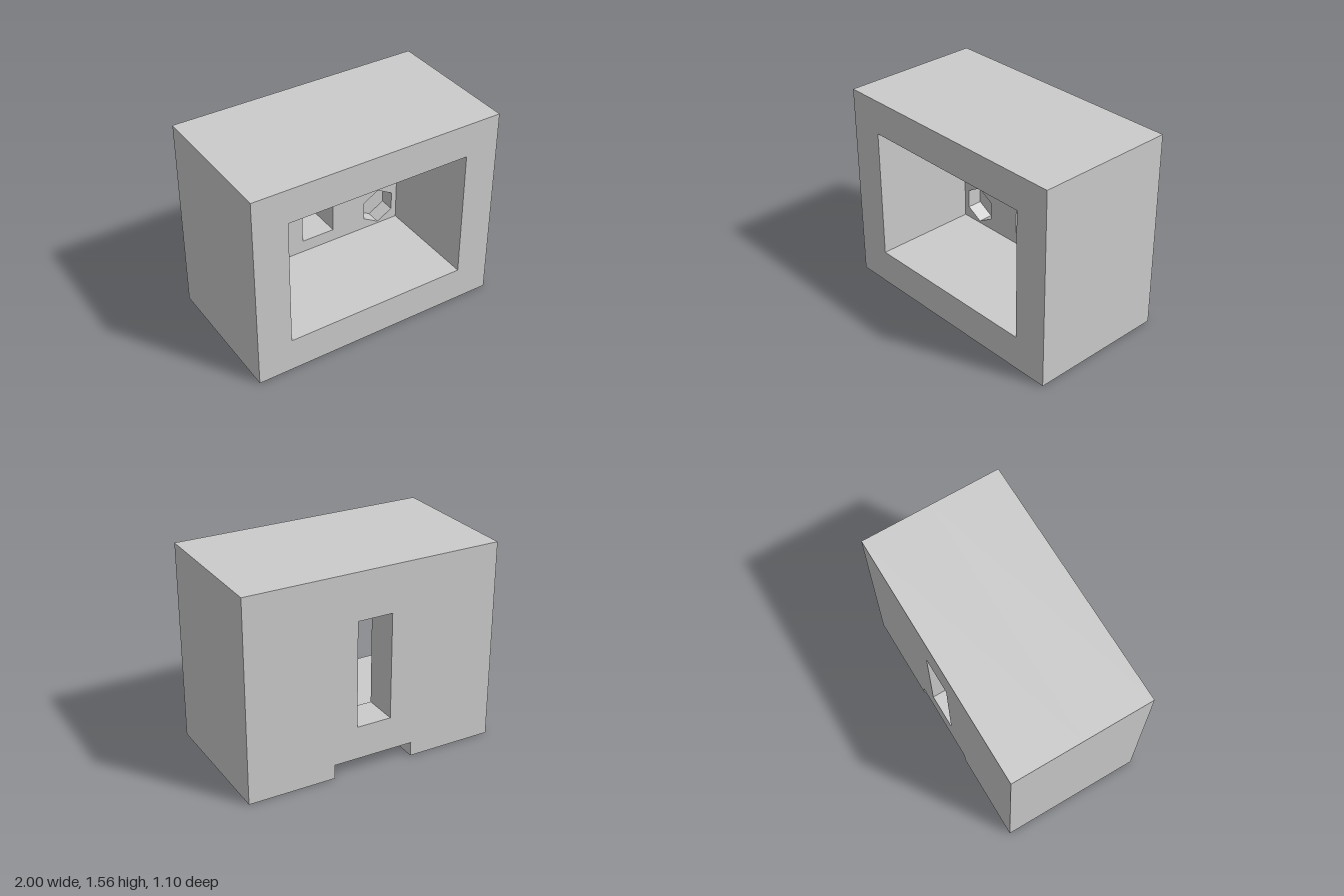
import * as THREE from 'three';
import { mergeGeometries } from 'three/addons/utils/BufferGeometryUtils.js';

// Main dimensions
const W = 1, H = 1.56, FRONT = 0.55, BACK = -0.55;
const FLOOR = -0.275;      // back wall of the front pocket
const NUT_FLOOR = -0.395;  // bottom of the hexagonal recesses
const NOTCH_X = 0.32, NOTCH_Y = 0.11, NOTCH_Z = 0;

const pts = list => list.map(([x, y]) => new THREE.Vector2(x, y));

// Counter-clockwise outlines
const rect = (x0, y0, x1, y1) => pts([[x0, y0], [x1, y0], [x1, y1], [x0, y1]]);
const hexagon = (cx, cy, r) => pts(Array.from({ length: 6 }, (_, i) => {
  const a = Math.PI / 6 + i * Math.PI / 3;
  return [cx + r * Math.cos(a), cy + r * Math.sin(a)];
}));

// Side walls along z; inward walls line a cavity
function walls(outline, z0, z1, inward = false) {
  const loop = inward ? [...outline].reverse() : outline;
  const pos = [];
  loop.forEach((a, i) => {
    const b = loop[(i + 1) % loop.length];
    pos.push(a.x, a.y, z0, b.x, b.y, z0, b.x, b.y, z1);
    pos.push(a.x, a.y, z0, b.x, b.y, z1, a.x, a.y, z1);
  });
  const g = new THREE.BufferGeometry();
  g.setAttribute('position', new THREE.Float32BufferAttribute(pos, 3));
  g.computeVertexNormals();
  return g;
}

// Flat face at depth z, facing forward or back
function face(outline, holes, z, backward = false) {
  const shape = new THREE.Shape(outline);
  shape.holes = holes.map(h => new THREE.Path(h));
  let g = new THREE.ShapeGeometry(shape);
  if (backward) g.setIndex(Array.from(g.index.array).reverse());
  g = g.toNonIndexed();
  g.deleteAttribute('uv');
  g.translate(0, 0, z);
  g.computeVertexNormals();
  return g;
}

export function createModel() {
  const group = new THREE.Group();
  group.name = 'housing';
  const material = new THREE.MeshStandardMaterial({ color: 0xcccccc, flatShading: true });
  const add = (name, parts) => {
    const mesh = new THREE.Mesh(mergeGeometries(parts), material);
    mesh.name = name;
    group.add(mesh);
  };

  const block = rect(-W, 0, W, H);
  const notched = pts([[-W, 0], [-NOTCH_X, 0], [-NOTCH_X, NOTCH_Y], [NOTCH_X, NOTCH_Y],
    [NOTCH_X, 0], [W, 0], [W, H], [-W, H]]);
  const pocket = rect(-0.73, 0.27, 0.73, 1.295);
  const slot = rect(-0.137, 0.37, 0.137, 1.197);
  const nuts = [];
  for (const x of [-0.556, 0.556])
    for (const y of [0.435, 1.132]) nuts.push(hexagon(x, y, 0.15));

  // Outer block, with a notch under its rear half
  add('outerBlock', [
    face(block, [pocket], FRONT),
    walls(block, NOTCH_Z, FRONT),
    walls(notched, BACK, NOTCH_Z),
    face(notched, [slot], BACK, true),
  ]);
  add('notchEnd', [face(rect(-NOTCH_X, 0, NOTCH_X, NOTCH_Y), [], NOTCH_Z, true)]);

  // Deep rectangular pocket open to the front
  add('frontPocket', [
    walls(pocket, FLOOR, FRONT, true),
    face(pocket, [slot, ...nuts], FLOOR),
  ]);

  // Slot through the back wall
  add('throughSlot', [walls(slot, BACK, FLOOR, true)]);

  // Four hexagonal blind recesses in the pocket floor
  nuts.forEach((hex, i) => add('hexRecess' + (i + 1), [
    walls(hex, NUT_FLOOR, FLOOR, true),
    face(hex, [], NUT_FLOOR),
  ]));

  return group;
}
